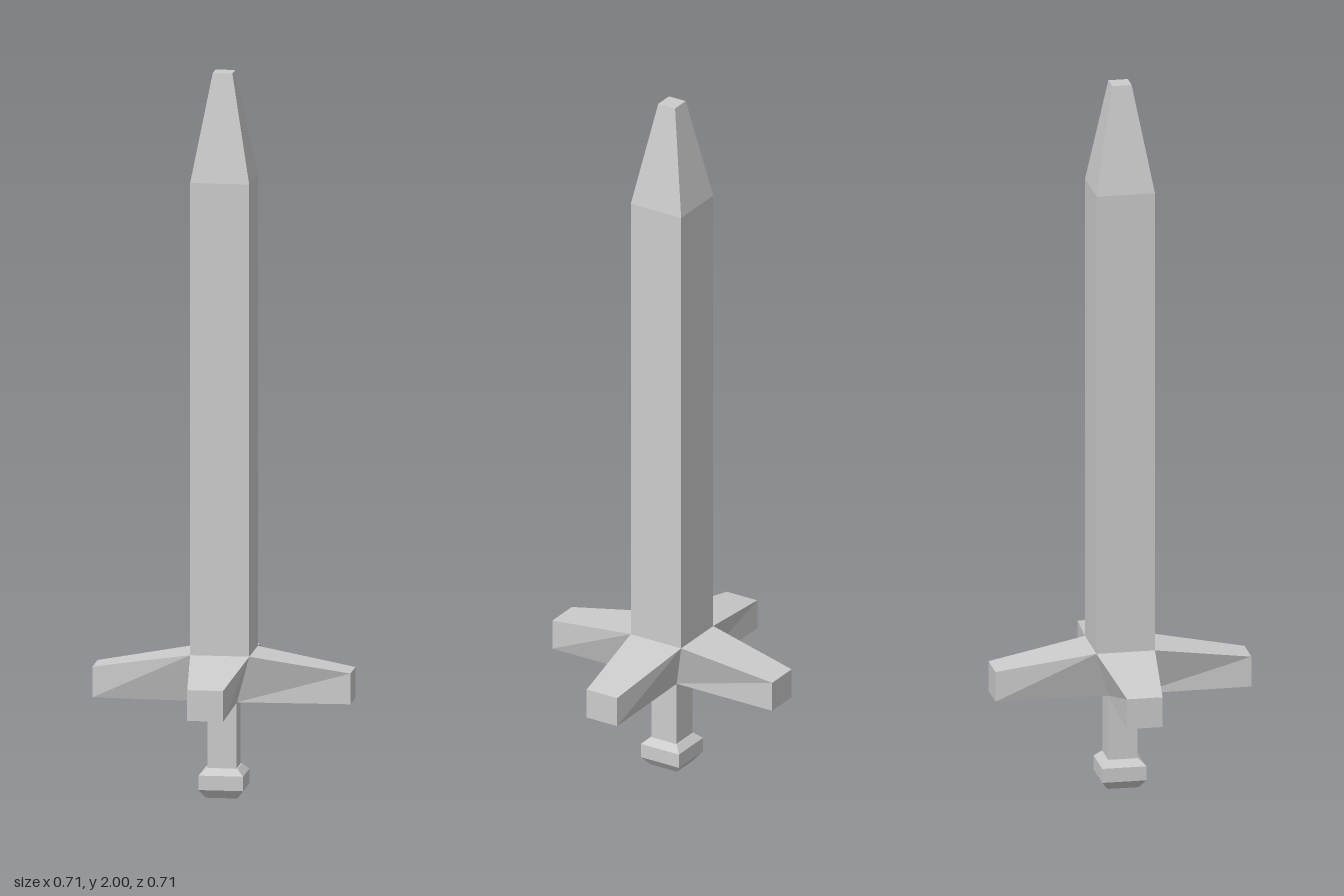
import * as THREE from 'three';

const material = new THREE.MeshStandardMaterial({ color: 0xcccccc, flatShading: true });

function addMesh(group, name, geometry) {
  const flat = geometry.toNonIndexed();
  flat.computeVertexNormals();
  const mesh = new THREE.Mesh(flat, material);
  mesh.name = name;
  group.add(mesh);
  return mesh;
}

// Square-section solid from [half width, height] pairs, listed bottom to top
function squareLathe(profile) {
  const points = profile.map(([half, y]) => new THREE.Vector2(half * Math.SQRT2, y));
  return new THREE.LatheGeometry(points, 4, Math.PI / 4);
}

// Guard arm along +z: flared at the root, mitred against its neighbours
function armGeometry() {
  const geometry = new THREE.BoxGeometry(1, 1, 1);
  const pos = geometry.attributes.position;
  for (let i = 0; i < pos.count; i++) {
    const side = Math.sign(pos.getX(i));
    const top = pos.getY(i) > 0;
    const outer = pos.getZ(i) > 0;
    const root = top ? 0.081 : 0.042;
    const half = outer ? 0.049 : root;
    const y = outer ? (top ? 0.355 : 0.27) : (top ? 0.4 : 0.266);
    pos.setXYZ(i, side * half, y, outer ? 0.354 : root);
  }
  return geometry;
}

export function createModel() {
  const sword = new THREE.Group();
  sword.name = 'sword';

  // Blade with tapered, blunt tip
  addMesh(sword, 'blade', squareLathe([[0, 0.395], [0.081, 0.395], [0.081, 1.705], [0.027, 2], [0, 2]]));

  // Four-armed cross guard
  const guard = new THREE.Group();
  guard.name = 'guard';
  for (let i = 0; i < 4; i++) {
    addMesh(guard, 'guardArm', armGeometry()).rotation.y = i * Math.PI / 2;
  }
  sword.add(guard);

  // Grip and bevelled pommel
  addMesh(sword, 'grip', squareLathe([[0, 0.07], [0.04, 0.07], [0.04, 0.28], [0, 0.28]]));
  addMesh(sword, 'pommel', squareLathe([[0, 0], [0.043, 0], [0.061, 0.024], [0.061, 0.064], [0.043, 0.082], [0, 0.082]]));

  return sword;
}
